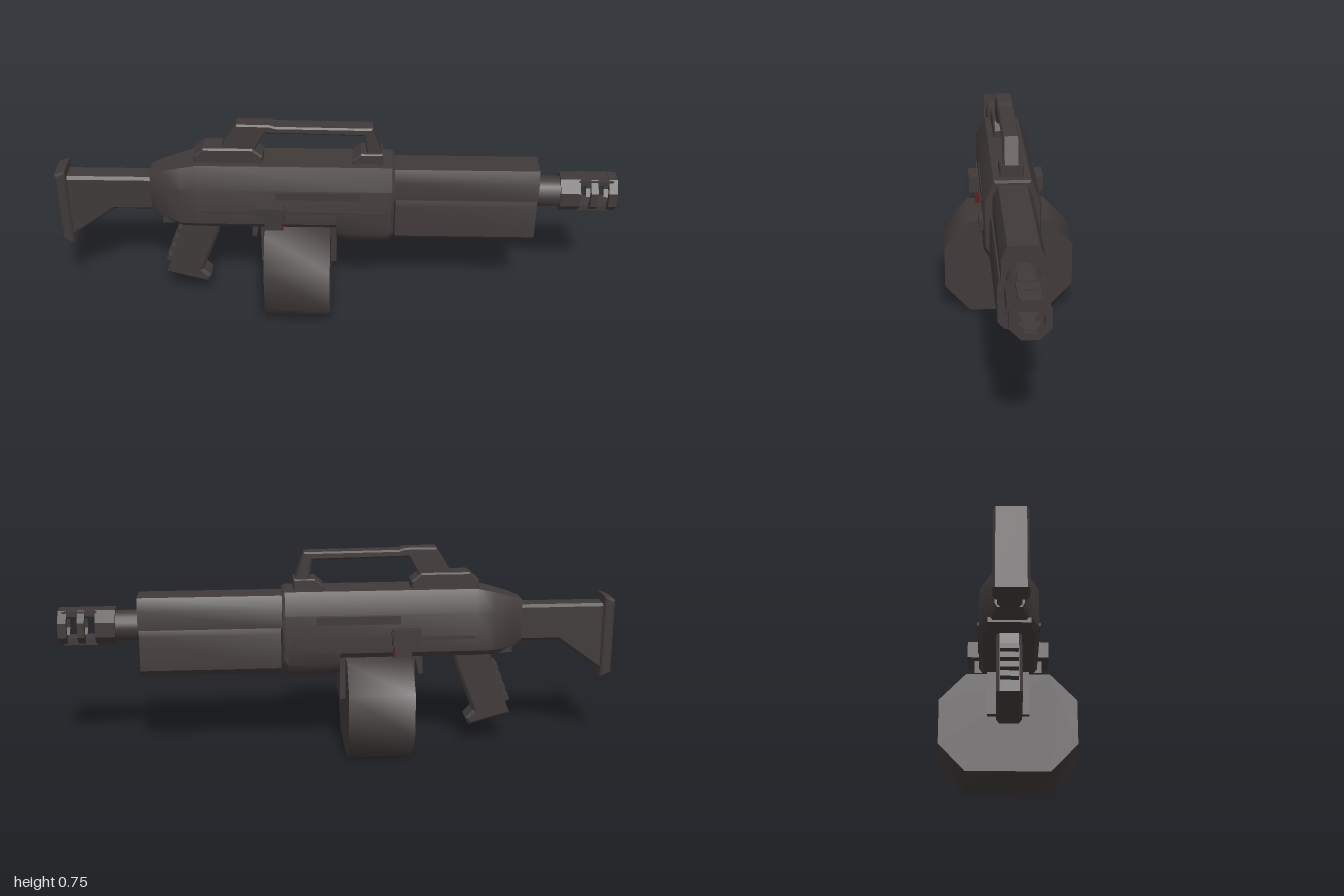
import * as THREE from 'three';
import { toCreasedNormals } from 'three/addons/utils/BufferGeometryUtils.js';

export function createModel() {
  const model = new THREE.Group();
  const gunmetal = new THREE.MeshStandardMaterial({ color: 0x403a39 });
  gunmetal.name = 'darkGunmetal';
  const red = new THREE.MeshStandardMaterial({ color: 0x5e1c1c });
  red.name = 'darkRed';

  function add(name, geo, mat = gunmetal) {
    const mesh = new THREE.Mesh(geo, mat);
    mesh.name = name;
    model.add(mesh);
    return mesh;
  }

  // Box from its x, y and z limits
  function box(name, x0, x1, y0, y1, z0, z1, mat) {
    const geo = new THREE.BoxGeometry(x1 - x0, y1 - y0, z1 - z0);
    geo.translate((x0 + x1) / 2, (y0 + y1) / 2, (z0 + z1) / 2);
    return add(name, geo, mat);
  }

  // Side outline (x, y) given a width across z
  function plate(name, points, halfWidth, bevel = 0) {
    const shape = new THREE.Shape(points.map(p => new THREE.Vector2(...p)));
    const depth = 2 * (halfWidth - bevel);
    const geo = new THREE.ExtrudeGeometry(shape, {
      depth, bevelEnabled: bevel > 0, bevelSegments: 1,
      bevelSize: bevel, bevelThickness: bevel, bevelOffset: -bevel,
    });
    geo.translate(0, 0, -depth / 2);
    return add(name, geo);
  }

  // Skin over mirrored half sections [x, [[z, y], ...]] listed from top to bottom
  function loft(name, sections, crease = 0.6) {
    const rings = sections.map(([x, half]) => [
      ...half.map(([z, y]) => [x, y, z]),
      ...half.slice().reverse().map(([z, y]) => [x, y, -z]),
    ]);
    const pos = [];
    const tri = (...p) => p.forEach(v => pos.push(...v));
    const n = rings[0].length;
    for (let i = 0; i + 1 < rings.length; i++) {
      for (let j = 0; j < n; j++) {
        const k = (j + 1) % n;
        const [a, b] = [rings[i], rings[i + 1]];
        tri(a[j], a[k], b[k]);
        tri(a[j], b[k], b[j]);
      }
    }
    const first = rings[0], last = rings[rings.length - 1];
    for (let j = 1; j + 1 < n; j++) {
      tri(first[0], first[j + 1], first[j]);
      tri(last[0], last[j], last[j + 1]);
    }
    const geo = new THREE.BufferGeometry();
    geo.setAttribute('position', new THREE.Float32BufferAttribute(pos, 3));
    return add(name, toCreasedNormals(geo, crease));
  }
  const prism = (name, x0, x1, half, crease) => loft(name, [[x0, half], [x1, half]], crease);

  // Stock and butt plate
  plate('buttPlate', [[-0.96, 0.56], [-1, 0.545], [-1, 0.268], [-0.96, 0.25]], 0.055, 0.008);
  plate('stock', [[-0.97, 0.53], [-0.64, 0.53], [-0.64, 0.395], [-0.8, 0.395], [-0.97, 0.275]], 0.04, 0.01);

  // Receiver
  const body = [[0.065, 0.6], [0.1, 0.52], [0.1, 0.38], [0.085, 0.36]];
  loft('receiver', [
    [-0.66, [[0.035, 0.55], [0.048, 0.51], [0.048, 0.41], [0.04, 0.395]]],
    [-0.62, [[0.045, 0.565], [0.065, 0.515], [0.065, 0.385], [0.055, 0.37]]],
    [-0.55, [[0.058, 0.585], [0.098, 0.52], [0.098, 0.38], [0.083, 0.362]]],
    [-0.49, body],
    [0.2, body],
    [0.21, [[0.06, 0.593], [0.095, 0.517], [0.095, 0.385], [0.08, 0.365]]],
  ]);
  loft('receiverFrontBlock', [
    [0.005, [[0.1, 0.42], [0.1, 0.35], [0.08, 0.32], [0.06, 0.3]]],
    [0.05, [[0.1, 0.42], [0.1, 0.34], [0.08, 0.31], [0.055, 0.283]]],
    [0.19, [[0.1, 0.42], [0.1, 0.34], [0.08, 0.31], [0.055, 0.283]]],
    [0.21, [[0.095, 0.42], [0.095, 0.36], [0.08, 0.33], [0.06, 0.31]]],
  ]);
  box('lowerFrame', -0.62, -0.26, 0.362, 0.38, -0.07, 0.07);

  // Details on both sides of the receiver
  for (const s of [1, -1]) {
    const sideBox = (name, x0, x1, y0, y1, z0, z1, mat) =>
      box(name, x0, x1, y0, y1, Math.min(s * z0, s * z1), Math.max(s * z0, s * z1), mat);
    sideBox('sideRail', -0.48, 0.17, 0.425, 0.437, 0.095, 0.104);
    sideBox('ejectionPanel', -0.21, 0.09, 0.485, 0.515, 0.096, 0.103);
    sideBox('frontCatch', 0.09, 0.17, 0.405, 0.44, 0.095, 0.114);
    sideBox('latch', -0.28, -0.18, 0.41, 0.47, 0.095, 0.14);
    sideBox('latchLever', -0.25, -0.19, 0.365, 0.41, 0.09, 0.116);
    sideBox('latchButton', -0.19, -0.184, 0.365, 0.408, 0.098, 0.117, red);
    sideBox('latchPin', -0.18, -0.174, 0.45, 0.462, 0.118, 0.134);
  }

  // Carrying handle and its feet
  plate('handleRearBase', [[-0.5, 0.59], [-0.5, 0.625], [-0.465, 0.655], [-0.29, 0.655], [-0.255, 0.625], [-0.255, 0.59]], 0.042, 0.006);
  plate('handleFrontBase', [[0.06, 0.59], [0.06, 0.615], [0.09, 0.64], [0.168, 0.64], [0.168, 0.59]], 0.042, 0.004);
  plate('carryingHandle', [
    [-0.41, 0.64], [-0.345, 0.745], [-0.23, 0.745], [-0.21, 0.738], [0.13, 0.735], [0.165, 0.63],
    [0.112, 0.63], [0.1, 0.706], [-0.245, 0.712], [-0.285, 0.64],
  ], 0.03, 0.006);

  // Handguard
  prism('handguardTop', 0.2, 0.72, [[0.05, 0.585], [0.07, 0.54], [0.07, 0.47]]);
  prism('handguardBottom', 0.215, 0.716, [[0.075, 0.472], [0.081, 0.45], [0.081, 0.325], [0.058, 0.3]]);

  // Barrel
  const barrel = add('barrel', new THREE.CylinderGeometry(0.055, 0.055, 0.12, 16));
  barrel.rotation.z = Math.PI / 2;
  barrel.position.set(0.76, 0.475, 0);

  // Muzzle brake: octagonal rings joined by top and bottom bars
  const octagon = (Type, r) => new Type(Array.from({ length: 8 }, (_, i) => {
    const a = (i + 0.5) * Math.PI / 4;
    return new THREE.Vector2(r * Math.cos(a), r * Math.sin(a));
  }));
  for (const [x0, x1, hollow] of [[0.8, 0.87, false], [0.907, 0.932, true], [0.97, 1, true]]) {
    const shape = octagon(THREE.Shape, 0.069);
    if (hollow) shape.holes.push(octagon(THREE.Path, 0.045));
    const geo = new THREE.ExtrudeGeometry(shape, { depth: x1 - x0, bevelEnabled: false });
    geo.rotateY(Math.PI / 2).translate(x0, 0.475, 0);
    add('muzzleRing', geo);
  }
  box('muzzleTopBar', 0.865, 0.985, 0.518, 0.536, -0.035, 0.035);
  box('muzzleBottomBar', 0.865, 0.985, 0.414, 0.436, -0.035, 0.035);

  // Drum magazine and its well
  prism('drumMagazine', -0.25, -0.015, [[0.145, 0.36], [0.237, 0.262], [0.237, 0.1], [0.145, 0]], 0.9);
  box('magazineWell', -0.268, 0.005, 0.2, 0.42, -0.072, 0.072);

  // Pistol grip with ridges down the back
  plate('pistolGrip', [
    [-0.545, 0.37], [-0.56, 0.31], [-0.63, 0.115], [-0.478, 0.073], [-0.465, 0.1],
    [-0.492, 0.13], [-0.425, 0.3], [-0.41, 0.37],
  ], 0.042, 0.01);
  for (let i = 0; i < 4; i++) {
    const t = i / 3;
    const ridge = add('gripRidge', new THREE.BoxGeometry(0.022, 0.024, 0.06));
    ridge.position.set(-0.57 - 0.045 * t, 0.295 - 0.12 * t, 0);
    ridge.rotation.z = -0.35;
  }

  // Trigger
  plate('trigger', [[-0.3, 0.37], [-0.305, 0.275], [-0.29, 0.27], [-0.268, 0.37]], 0.02);

  return model;
}
